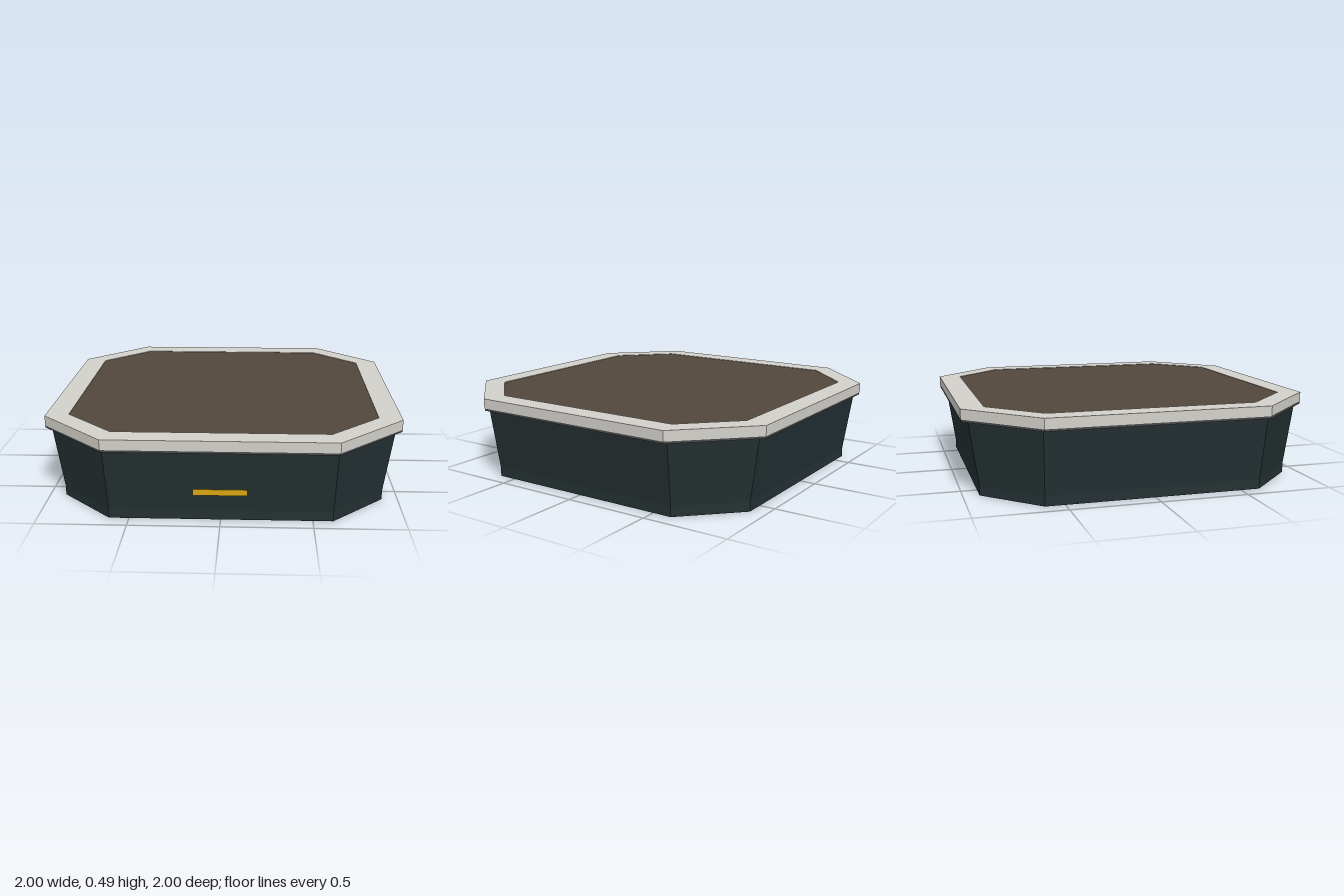
import * as THREE from 'three';

// Corners of a square with cut corners, anticlockwise from above
function octagon([half, cut, y]) {
  return [[half, cut], [cut, half], [-cut, half], [-half, cut],
    [-half, -cut], [-cut, -half], [cut, -half], [half, -cut]]
    .map(([x, d]) => [x, y, -d]);
}

// Flat-sided skin through rings of [half width, corner offset, height]
function loft(rings, capped = true) {
  const loops = rings.map(octagon);
  const out = [];
  const tri = (a, b, c) => out.push(...a, ...b, ...c);
  for (let r = 0; r + 1 < loops.length; r++) {
    const a = loops[r], b = loops[r + 1];
    for (let i = 0; i < 8; i++) {
      const j = (i + 1) % 8;
      tri(a[i], a[j], b[j]);
      tri(a[i], b[j], b[i]);
    }
  }
  if (capped) {
    const bottom = loops[0], top = loops[loops.length - 1];
    for (let i = 1; i < 7; i++) {
      tri(bottom[0], bottom[i + 1], bottom[i]);
      tri(top[0], top[i], top[i + 1]);
    }
  }
  const geometry = new THREE.BufferGeometry();
  geometry.setAttribute('position', new THREE.Float32BufferAttribute(out, 3));
  geometry.computeVertexNormals();
  return geometry;
}

function material(name, color) {
  const m = new THREE.MeshStandardMaterial({ color });
  m.name = name;
  return m;
}

export function createModel() {
  const model = new THREE.Group();
  model.name = 'planter';
  const add = (name, geometry, mat) => {
    const mesh = new THREE.Mesh(geometry, mat);
    mesh.name = name;
    model.add(mesh);
    return mesh;
  };

  const darkGreen = material('dark slate green', 0x243032);
  const charcoal = material('charcoal', 0x4a4a4c);
  const stone = material('pale stone', 0xd2d0ca);
  const soilBrown = material('soil brown', 0x52473b);
  const gold = material('gold', 0xd8a511);

  // Tapered tub on a short upright foot
  add('tub', loft([[0.91, 0.61, 0], [0.91, 0.61, 0.055], [0.963, 0.623, 0.42]]), darkGreen);

  // Thin dark band below the rim
  add('rimShadowBand', loft([[0.998, 0.623, 0.415], [0.998, 0.623, 0.428]]), charcoal);

  // Rim, open in the middle
  add('rim', loft([[0.96, 0.61, 0.428], [1, 0.625, 0.428], [1, 0.625, 0.485],
    [0.87, 0.59, 0.485], [0.87, 0.59, 0.44]], false), stone);

  // Soil filling the opening
  add('soil', loft([[0.87, 0.59, 0.44], [0.87, 0.59, 0.482]]), soilBrown);

  // Plate standing off the front wall
  add('frontPlate', new THREE.BoxGeometry(0.29, 0.034, 0.006), gold).position.set(0, 0.185, 0.969);

  return model;
}
